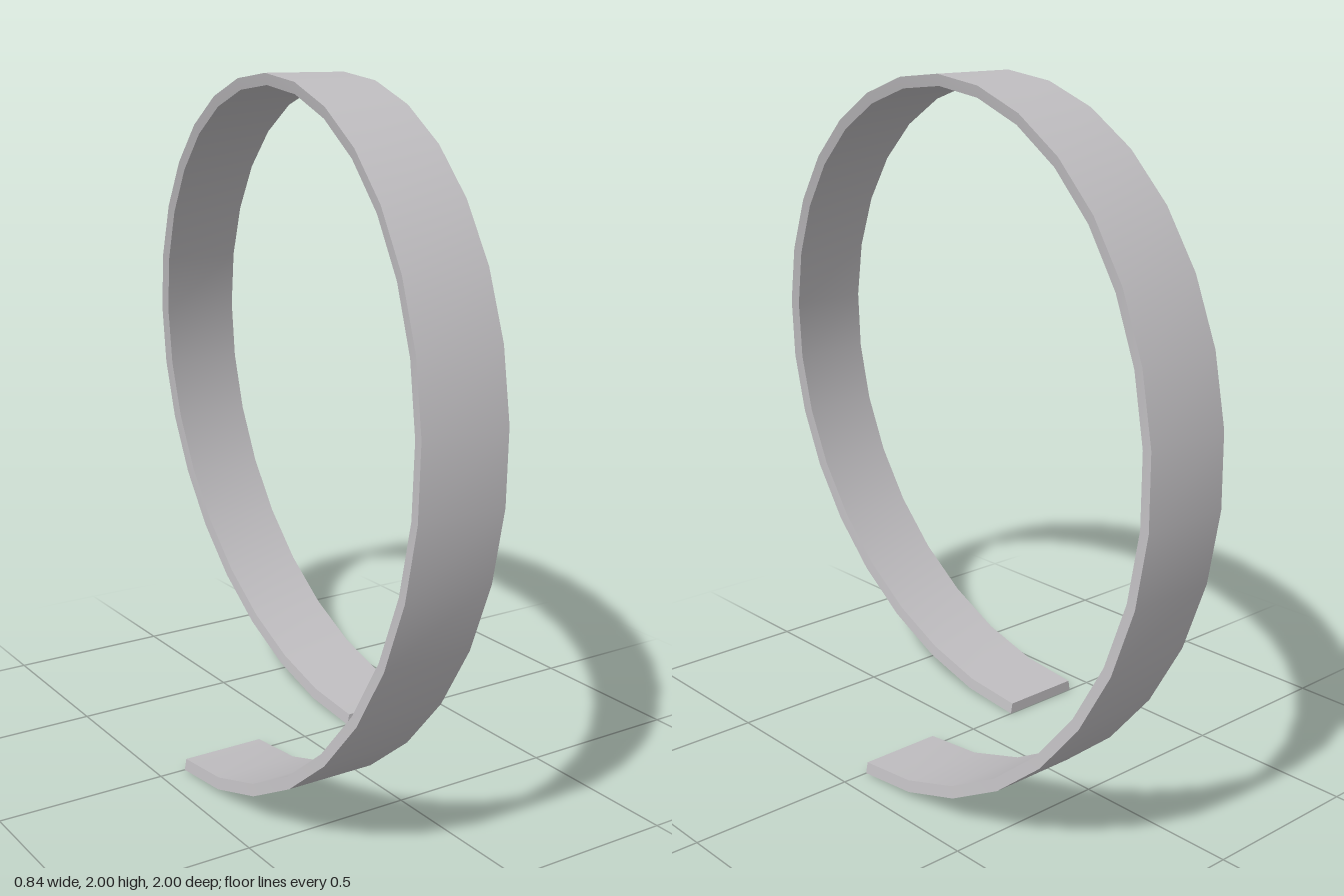
import * as THREE from 'three';
import { toCreasedNormals } from 'three/addons/utils/BufferGeometryUtils.js';

const SEGMENTS = 32;   // facets around the full turn
const SWING = 0.29;    // sideways offset of the two open ends
// Cross-section: [sideways offset, radius], outer face first
const SECTION = [[-0.131, 1], [0.131, 1], [0.125, 0.967], [-0.125, 0.967]];

// Open band: one turn about the x axis while drifting from right to left
function bandGeometry() {
  const positions = [];
  const indices = [];
  const n = SECTION.length;
  for (let i = 0; i <= SEGMENTS; i++) {
    const angle = (i / SEGMENTS) * Math.PI * 2;
    const drift = -SWING * Math.cos(angle / 2);
    for (const [offset, radius] of SECTION) {
      positions.push(drift + offset, 1 - radius * Math.cos(angle), radius * Math.sin(angle));
    }
  }
  for (let i = 0; i < SEGMENTS; i++) {
    for (let j = 0; j < n; j++) {
      const a = i * n + j;
      const b = i * n + (j + 1) % n;
      indices.push(a, b, b + n, a, b + n, a + n);
    }
  }
  // End caps
  const e = SEGMENTS * n;
  indices.push(0, 2, 1, 0, 3, 2, e, e + 1, e + 2, e, e + 2, e + 3);

  const geometry = new THREE.BufferGeometry();
  geometry.setAttribute('position', new THREE.Float32BufferAttribute(positions, 3));
  geometry.setIndex(indices);
  return toCreasedNormals(geometry, 0.6);
}

export function createModel() {
  const group = new THREE.Group();
  group.name = 'openRing';
  const silver = new THREE.MeshStandardMaterial({ color: 0xbfbdc0 });
  silver.name = 'silver';
  const band = new THREE.Mesh(bandGeometry(), silver);
  band.name = 'band';
  group.add(band);
  return group;
}
